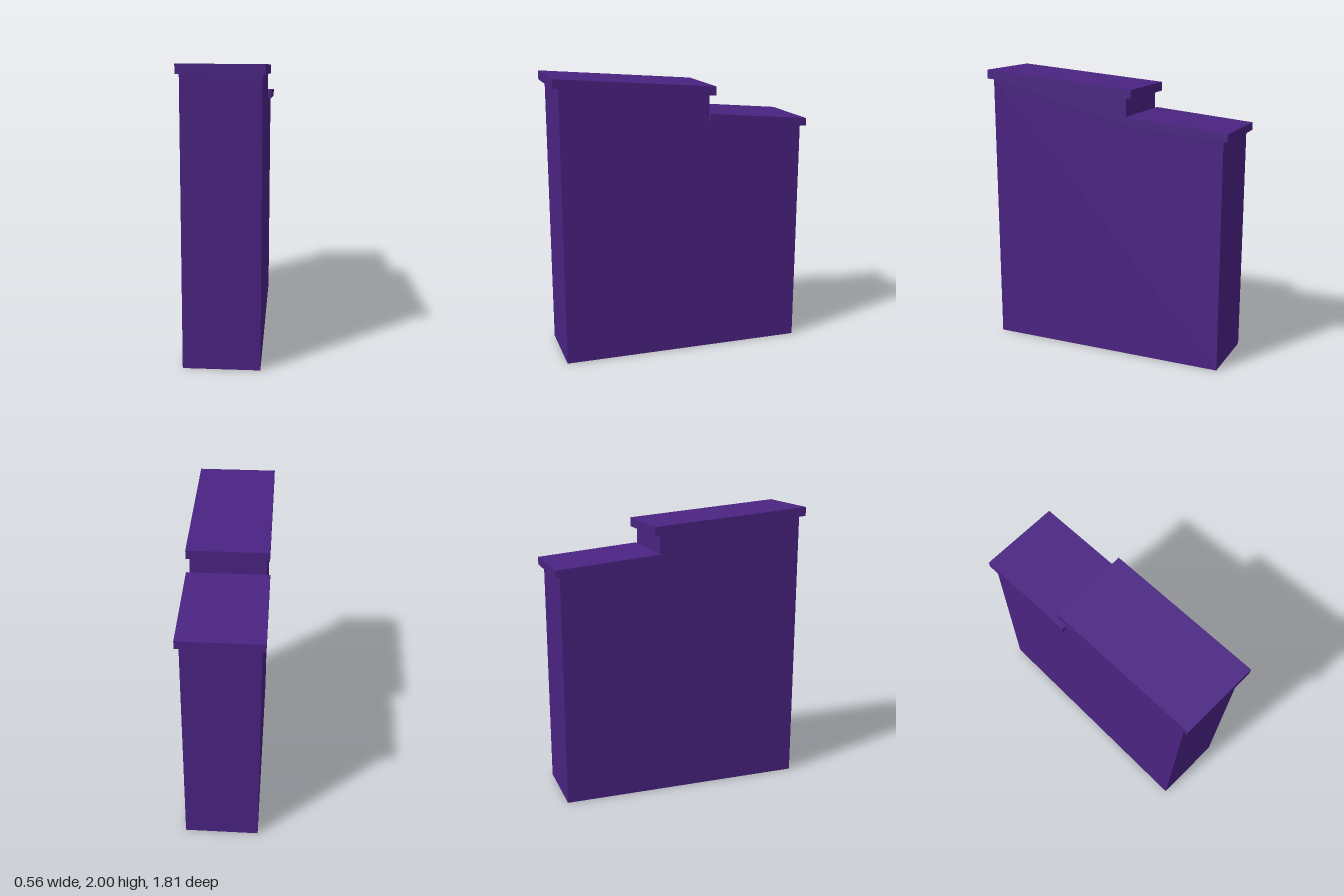
import * as THREE from 'three';

// Extrudes a side profile of [z, y] points across x, from xMin to xMax
function extrudeProfile(points, xMin, xMax) {
  const shape = new THREE.Shape(points.map(([z, y]) => new THREE.Vector2(z, y)));
  const geometry = new THREE.ExtrudeGeometry(shape, { depth: xMax - xMin, bevelEnabled: false });
  return geometry.rotateY(-Math.PI / 2).translate(xMax, 0, 0);
}

// Removes the faces lying on the ground, leaving the shell open below
function openBottom(geometry) {
  const pos = geometry.attributes.position;
  const kept = [];
  for (let i = 0; i < pos.count; i += 3) {
    const top = Math.max(pos.getY(i), pos.getY(i + 1), pos.getY(i + 2));
    if (top > 0.001) kept.push(i, i + 1, i + 2);
  }
  geometry.clearGroups();
  geometry.setIndex(kept);
  return geometry;
}

// Sloping slab with upright ends
function slabProfile(zFront, yFront, zBack, yBack, thickness) {
  return [
    [zBack, yBack - thickness], [zFront, yFront - thickness],
    [zFront, yFront], [zBack, yBack],
  ];
}

export function createModel() {
  const model = new THREE.Group();
  model.name = 'steppedBuilding';
  const purple = new THREE.MeshStandardMaterial({ color: 0x4a2382, side: THREE.DoubleSide });
  purple.name = 'purple';

  const add = (name, geometry) => {
    const mesh = new THREE.Mesh(geometry, purple);
    mesh.name = name;
    model.add(mesh);
  };

  // Walls: tall front section stepping down to a lower back section
  add('walls', openBottom(extrudeProfile([
    [-0.868, 0], [0.865, 0], [0.865, 1.935], [-0.177, 1.85],
    [-0.177, 1.67], [-0.868, 1.608],
  ], -0.258, 0.255)));

  // Overhanging roof slabs, both sloping down to the back
  add('upperRoof', extrudeProfile(slabProfile(0.905, 2, -0.22, 1.91, 0.063), -0.279, 0.275));
  add('lowerRoof', extrudeProfile(slabProfile(-0.18, 1.725, -0.903, 1.66, 0.054), -0.283, 0.28));

  return model;
}
